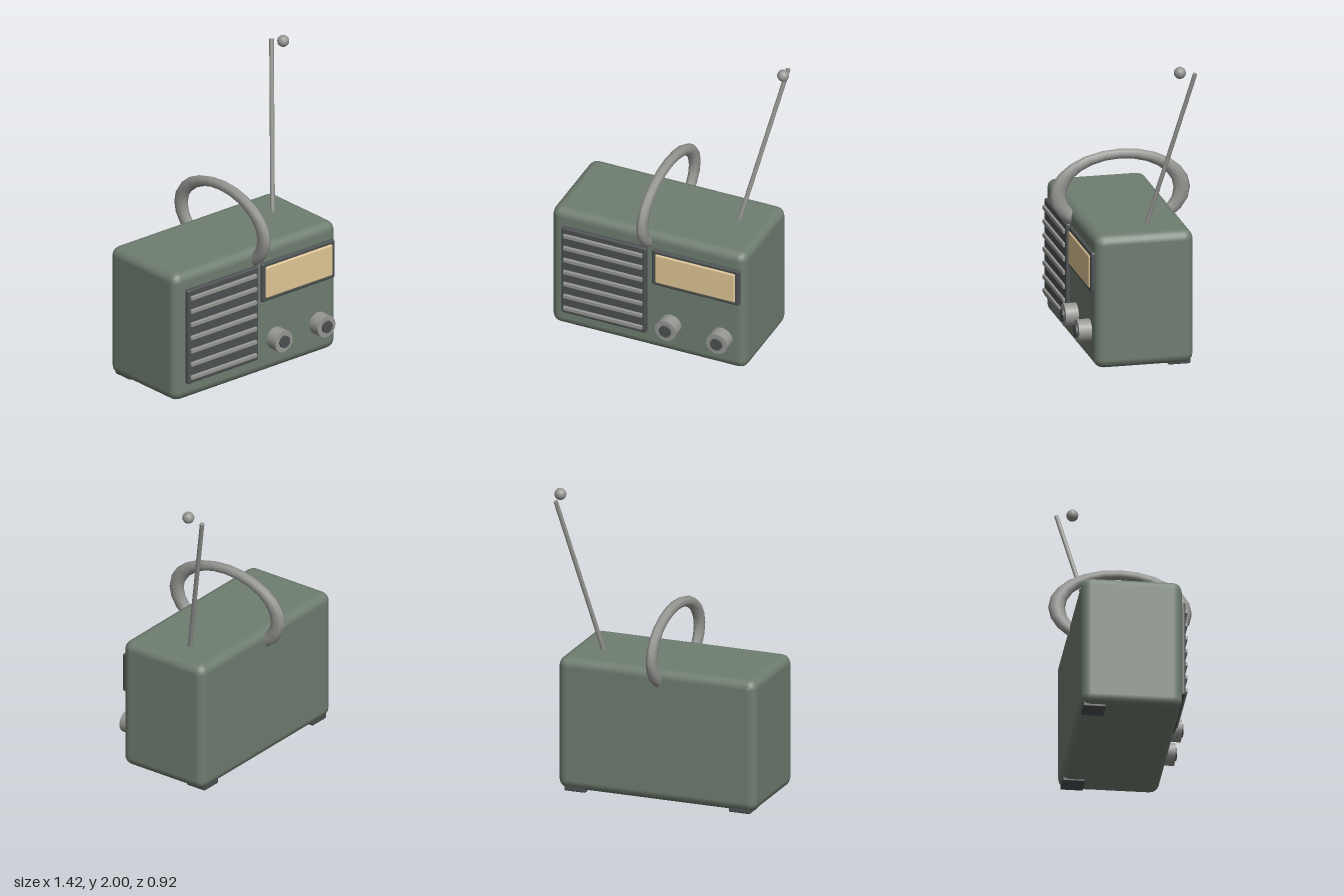
import * as THREE from 'three';
import { RoundedBoxGeometry } from 'three/addons/geometries/RoundedBoxGeometry.js';

const mat = (color) => new THREE.MeshStandardMaterial({ color });

export function createModel() {
  const radio = new THREE.Group();
  radio.name = 'radio';
  const green = mat(0x6f7d70), dark = mat(0x4d5152), metal = mat(0x969693), tan = mat(0xe0c797);

  const add = (name, geometry, material, x = 0, y = 0, z = 0) => {
    const mesh = new THREE.Mesh(geometry, material);
    mesh.name = name;
    mesh.position.set(x, y, z);
    radio.add(mesh);
    return mesh;
  };
  // Rounded box given by its extents on each axis
  const box = (name, material, [x0, x1], [y0, y1], [z0, z1], radius, segments = 2) =>
    add(name, new RoundedBoxGeometry(x1 - x0, y1 - y0, z1 - z0, segments, radius), material,
      (x0 + x1) / 2, (y0 + y1) / 2, (z0 + z1) / 2);

  // Case
  box('case', green, [-0.71, 0.655], [0.012, 0.897], [-0.325, 0.325], 0.062);

  // Speaker grille with horizontal bars
  box('grillePanel', dark, [-0.623, -0.03], [0.132, 0.784], [0.29, 0.353], 0.012);
  for (let i = 0; i < 7; i++) {
    const y = 0.175 + i * 0.0922;
    box('grilleBar', metal, [-0.605, -0.052], [y - 0.015, y + 0.015], [0.34, 0.368], 0.006, 1);
  }

  // Tuning display
  box('dialFrame', dark, [0.007, 0.617], [0.517, 0.784], [0.29, 0.346], 0.012);
  box('dialWindow', tan, [0.033, 0.593], [0.541, 0.76], [0.32, 0.356], 0.012);

  // Knobs with dark caps
  for (const x of [0.133, 0.491]) {
    const knob = add('knob', new THREE.CylinderGeometry(0.074, 0.074, 0.1, 20), metal, x, 0.233, 0.36);
    const cap = add('knobCap', new THREE.CylinderGeometry(0.041, 0.041, 0.03, 16), dark, x, 0.233, 0.408);
    knob.rotation.x = cap.rotation.x = Math.PI / 2;
  }

  // Flattened ring handle running front to back
  const ring = new THREE.TorusGeometry(0.407, 0.054, 8, 24);
  ring.scale(1, 0.615, 0.63).rotateY(Math.PI / 2);
  add('handle', ring, metal, -0.031, 0.98, 0);

  // Leaning antenna and its tip
  const foot = new THREE.Vector3(0.431, 0.85, -0.049);
  const top = new THREE.Vector3(0.66, 1.945, -0.327);
  const dir = top.clone().sub(foot);
  const rod = add('antenna', new THREE.CylinderGeometry(0.015, 0.015, dir.length(), 8), metal);
  rod.position.copy(foot).add(top).multiplyScalar(0.5);
  rod.quaternion.setFromUnitVectors(new THREE.Vector3(0, 1, 0), dir.normalize());
  add('antennaTip', new THREE.SphereGeometry(0.039, 14, 10), metal, 0.67, 1.961, -0.224);

  // Rear feet
  for (const x of [-0.595, 0.538])
    box('foot', dark, [x - 0.073, x + 0.073], [0, 0.05], [-0.309, -0.163], 0.008, 1);

  return radio;
}
